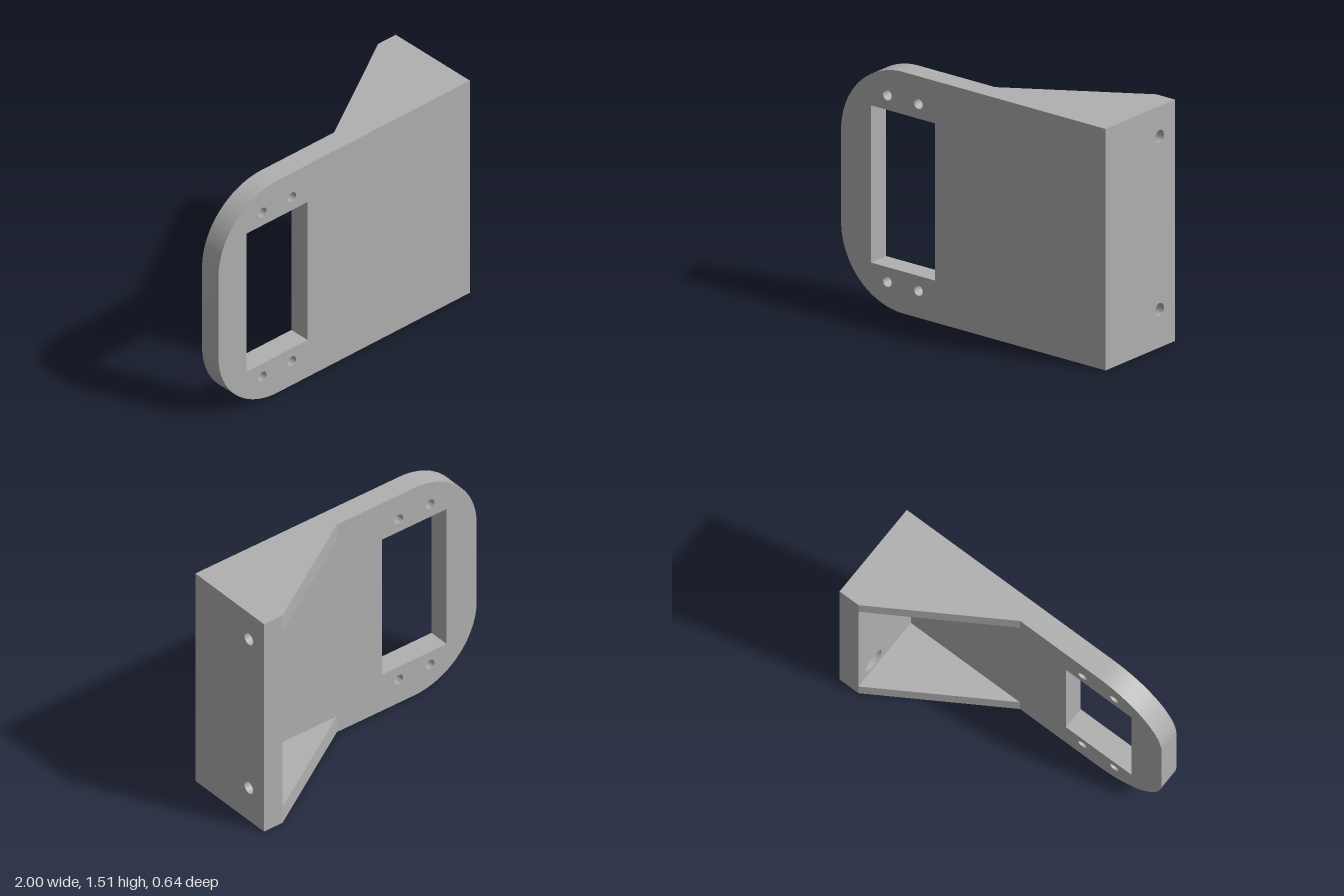
import * as THREE from 'three';
import { toCreasedNormals } from 'three/addons/utils/BufferGeometryUtils.js';

const H = 1.51;          // overall height
const FRONT = 0.322;     // front face z
const INNER = 0.18;      // rear face of the front plate
const WALL = 0.86;       // inner face of the side wall
const RIB = 0.115;       // gusset thickness

const grey = new THREE.MeshStandardMaterial({ color: 0xb0b0b0 });
grey.name = 'grey';

function circle(x, y, r) {
  return new THREE.Path().absarc(x, y, r, 0, Math.PI * 2, true);
}

function polygon(points) {
  return new THREE.Shape(points.map(([x, y]) => new THREE.Vector2(x, y)));
}

function extrude(shape, depth) {
  const geometry = new THREE.ExtrudeGeometry(shape, { depth, bevelEnabled: false, curveSegments: 32 });
  return toCreasedNormals(geometry, 0.5);
}

export function createModel() {
  const group = new THREE.Group();
  group.name = 'mountingBracket';
  const add = (name, geometry) => {
    const mesh = new THREE.Mesh(geometry, grey);
    mesh.name = name;
    group.add(mesh);
  };

  // Front plate: two rounded corners, a window and four screw holes
  const r = 0.47;
  const plate = new THREE.Shape();
  plate.moveTo(1, 0);
  plate.lineTo(1, H);
  plate.lineTo(-1 + r, H);
  plate.absarc(-1 + r, H - r, r, Math.PI / 2, Math.PI, false);
  plate.lineTo(-1, r);
  plate.absarc(-1 + r, r, r, Math.PI, Math.PI * 1.5, false);
  plate.closePath();
  plate.holes.push(new THREE.Path([
    [-0.775, 0.262], [-0.775, 1.245], [-0.29, 1.245], [-0.29, 0.262],
  ].map(([x, y]) => new THREE.Vector2(x, y))));
  for (const x of [-0.65, -0.415]) {
    for (const y of [0.17, 1.337]) plate.holes.push(circle(x, y, 0.032));
  }
  add('frontPlate', extrude(plate, FRONT - INNER).translate(0, 0, INNER));

  // Side wall in two layers: wide counterbores inside, narrow holes outside
  const layer = (1 - WALL) / 2;
  [['sideWallInner', WALL, 0.08], ['sideWallOuter', WALL + layer, 0.04]].forEach(([name, x, radius]) => {
    const wall = polygon([[-INNER, 0], [FRONT, 0], [FRONT, H], [-INNER, H]]);
    for (const y of [0.238, 1.32]) wall.holes.push(circle(0.18, y, radius));
    add(name, extrude(wall, layer).rotateY(Math.PI / 2).translate(x, 0, 0));
  });

  // Triangular gussets at the bottom and top
  const gusset = polygon([[0.05, -INNER], [WALL, -INNER], [WALL, FRONT]]);
  [['bottomGusset', 0], ['topGusset', H - RIB]].forEach(([name, y]) => {
    add(name, extrude(gusset, RIB).rotateX(-Math.PI / 2).translate(0, y, 0));
  });

  return group;
}
